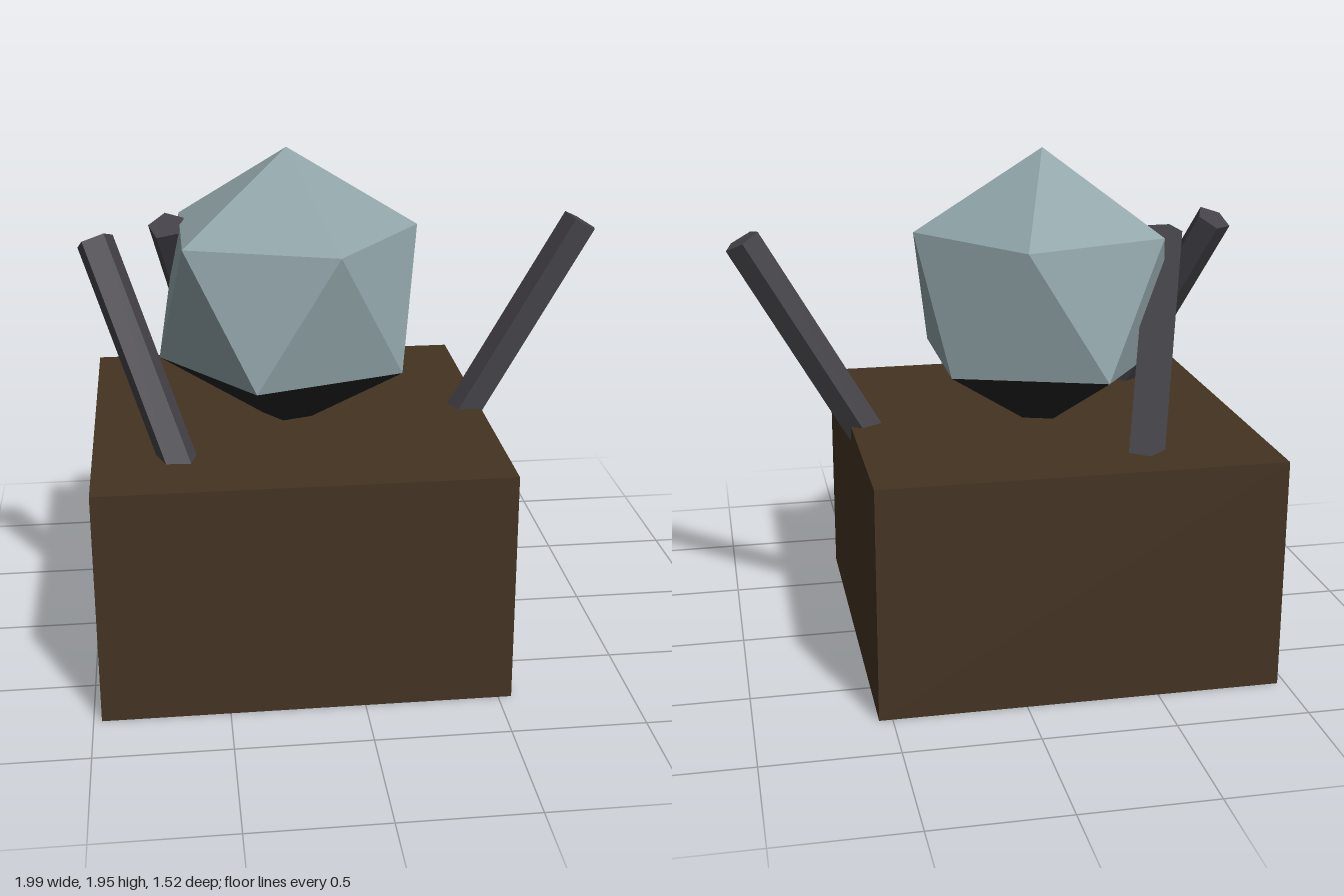
import * as THREE from 'three';

export function createModel() {
  const model = new THREE.Group();
  const mat = (name, color) => new THREE.MeshStandardMaterial({ name, color, flatShading: true });
  const earth = mat('brown earth', 0x443322);
  const crystal = mat('pale blue grey', 0x90a4a8);
  const charcoal = mat('charcoal', 0x444248);
  const black = mat('black', 0x242426);

  const add = (name, geometry, material) => {
    const mesh = new THREE.Mesh(geometry, material);
    mesh.name = name;
    model.add(mesh);
    return mesh;
  };

  // Base block
  add('baseBlock', new THREE.BoxGeometry(1.52, 0.89, 1.52), earth).position.set(-0.21, 0.445, 0);

  // Icosahedral gem: two rings of five corners between an upper and a lower apex
  const centre = new THREE.Vector3(-0.21, 1.386, 0);
  const R = 0.559, ringR = R * 2 / Math.sqrt(5), ringY = R / Math.sqrt(5);
  const corner = (i, y, offset) => {
    const a = (i + offset) * Math.PI * 2 / 5;
    return new THREE.Vector3(Math.cos(a) * ringR, y, Math.sin(a) * ringR);
  };
  const top = new THREE.Vector3(0, R, 0), bottom = new THREE.Vector3(0, -R, 0);
  const bodyFaces = [], capFaces = [];
  for (let i = 0; i < 5; i++) {
    const u0 = corner(i, ringY, 0), u1 = corner(i + 1, ringY, 0);
    const l0 = corner(i, -ringY, 0.5), l1 = corner(i + 1, -ringY, 0.5);
    bodyFaces.push(top, u1, u0, u0, u1, l0, u1, l1, l0);
    capFaces.push(bottom, l0, l1);
  }
  const facets = (points) => {
    const g = new THREE.BufferGeometry().setFromPoints(points);
    g.computeVertexNormals();
    return g;
  };
  add('gem', facets(bodyFaces), crystal).position.copy(centre);
  add('gemUnderside', facets(capFaces), black).position.copy(centre);

  // Three leaning five-sided posts, given by their tops and where they enter the block
  const up = new THREE.Vector3(0, 1, 0);
  const length = 1;
  const postGeometry = new THREE.CylinderGeometry(0.073, 0.073, length, 5);
  postGeometry.rotateY(Math.PI);
  postGeometry.translate(0, -length / 2, 0);
  const posts = [
    ['leftPost', [0.935, 1.63, 0], [0.508, 0.89, 0]],
    ['backPost', [-0.665, 1.63, -0.11], [-0.495, 0.89, -0.52]],
    ['frontPost', [-0.932, 1.63, 0.085], [-0.66, 0.89, 0.43]],
  ];
  for (const [name, end, foot] of posts) {
    const tip = new THREE.Vector3(...end);
    const direction = tip.clone().sub(new THREE.Vector3(...foot)).normalize();
    const post = add(name, postGeometry, charcoal);
    post.position.copy(tip);
    post.quaternion.setFromUnitVectors(up, direction);
  }
  return model;
}
